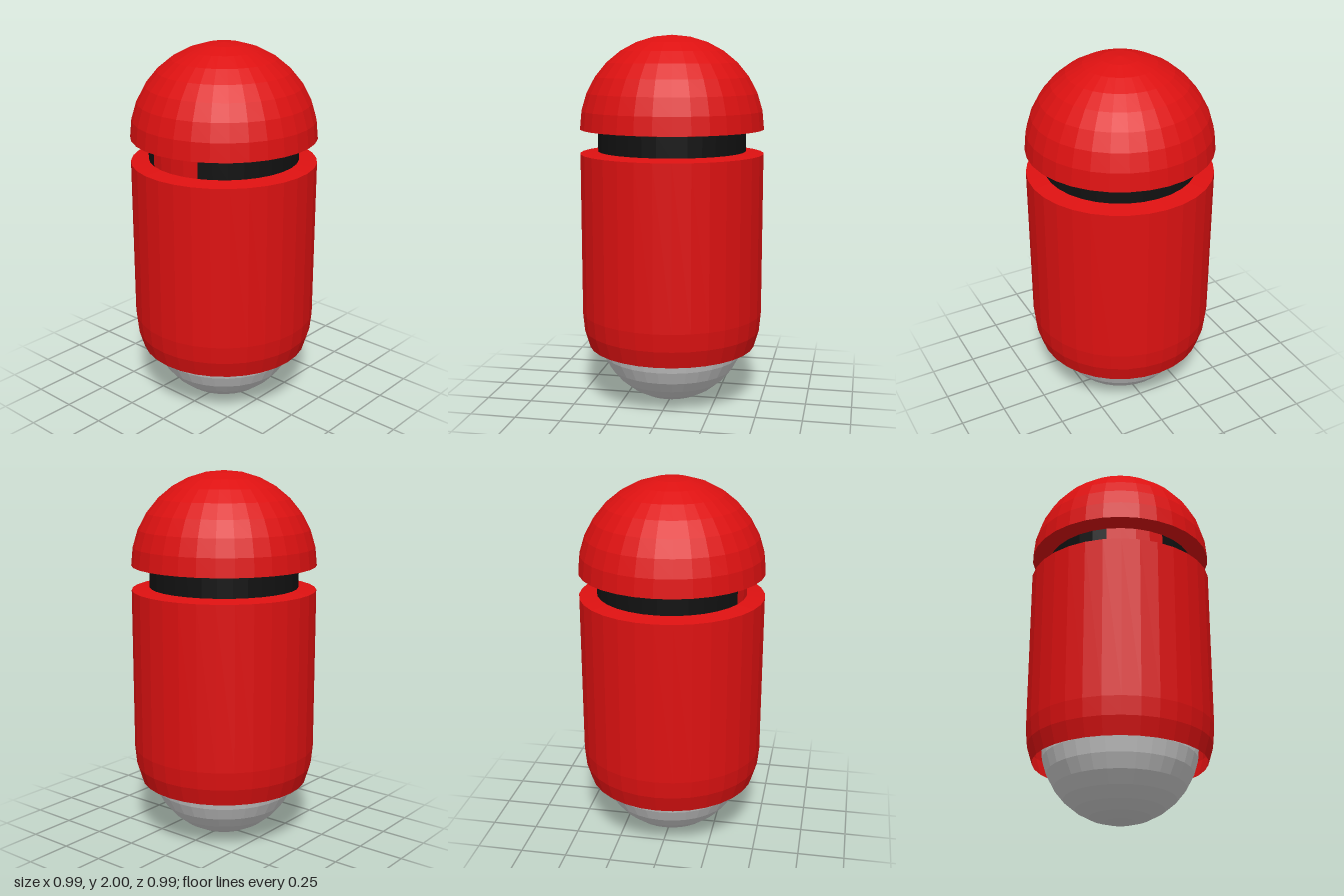
import * as THREE from 'three';

const SIDES = 32;
const R = 0.495; // outer shell radius
const BAND_R = 0.4; // recessed band radius
const STEP = Math.PI / 16; // one facet of the rounded ends

const material = (color) =>
  new THREE.MeshStandardMaterial({ color, flatShading: true, side: THREE.DoubleSide });

// Surface of revolution from [radius, height] pairs, listed bottom to top
function turned(name, profile, mat, segments = SIDES, start = 0, length = Math.PI * 2) {
  const points = profile.map(([r, y]) => new THREE.Vector2(r, y));
  const mesh = new THREE.Mesh(new THREE.LatheGeometry(points, segments, start, length), mat);
  mesh.name = name;
  return mesh;
}

// Profile points on a circle of radius r centred at height cy
function arc(r, cy, from, to) {
  const pts = [];
  for (let i = from; i <= to; i++) {
    pts.push([Math.max(0, r * Math.cos(i * STEP)), cy + r * Math.sin(i * STEP)]);
  }
  return pts;
}

export function createModel() {
  const group = new THREE.Group();
  group.name = 'capsule';
  const red = material(0xdd1111);
  const black = material(0x111111);
  const grey = material(0xcccccc);

  // Domed cap with a slightly sloping underside
  group.add(turned('cap', [[BAND_R, 1.495], ...arc(R, 1.505, 0, 8)], red));

  // Open-bottomed shell, tapering in below and lipped at the top
  group.add(turned('bodyShell', [...arc(R, 0.5, -2, 0), [R, 1.374], [BAND_R, 1.387]], red));

  // Recessed band: black all round, with a red panel of four facets at the front
  const band = [[BAND_R, 1.38], [BAND_R, 1.5]];
  group.add(turned('darkBand', band, black, SIDES - 4, 2 * STEP, Math.PI * 2 - 4 * STEP));
  group.add(turned('frontPanel', band, red, 4, -2 * STEP, 4 * STEP));

  // Ball seated in the open bottom
  group.add(turned('bottomBall', arc(0.413, 0.413, -8, 8), grey));

  return group;
}
